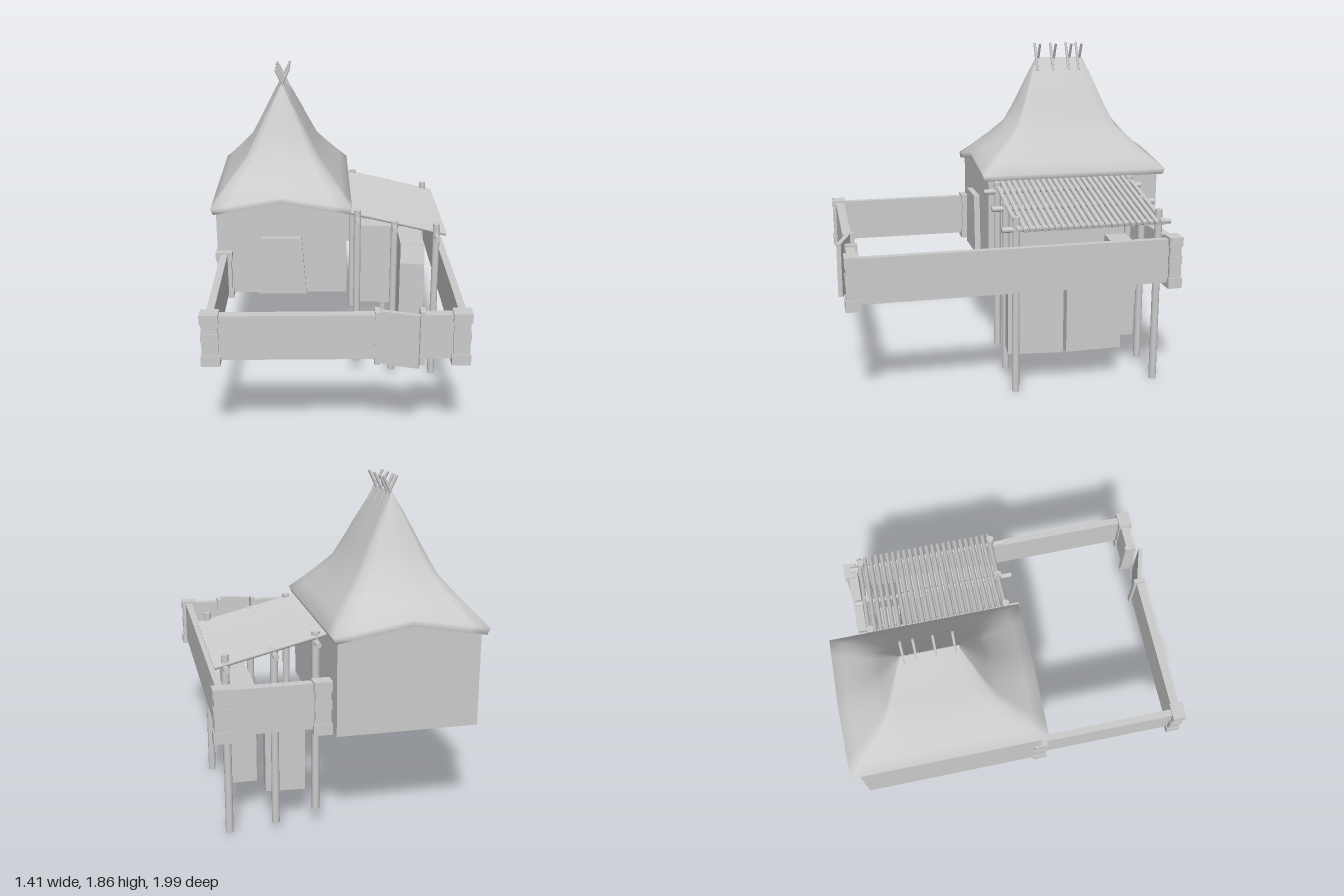
import * as THREE from 'three';

const mat = new THREE.MeshStandardMaterial({ color: 0xcccccc });
const flat = new THREE.MeshStandardMaterial({ color: 0xcccccc, flatShading: true });

export function createModel() {
  const model = new THREE.Group();

  function add(name, geometry, material = flat) {
    const mesh = new THREE.Mesh(geometry, material);
    mesh.name = name;
    model.add(mesh);
    return mesh;
  }

  // Box given by its limits on each axis
  function box(name, x0, x1, y0, y1, z0, z1) {
    const mesh = add(name, new THREE.BoxGeometry(x1 - x0, y1 - y0, z1 - z0));
    mesh.position.set((x0 + x1) / 2, (y0 + y1) / 2, (z0 + z1) / 2);
    return mesh;
  }

  // Round pole between two points
  function pole(name, a, b, radius, sides = 10) {
    const p = new THREE.Vector3(...a), q = new THREE.Vector3(...b);
    const mesh = add(name, new THREE.CylinderGeometry(radius, radius, p.distanceTo(q), sides), mat);
    mesh.position.copy(p).add(q).multiplyScalar(0.5);
    mesh.quaternion.setFromUnitVectors(new THREE.Vector3(0, 1, 0), q.sub(p).normalize());
    return mesh;
  }

  function panel(name, points, z, depth) {
    const shape = new THREE.Shape(points.map(p => new THREE.Vector2(...p)));
    add(name, new THREE.ExtrudeGeometry(shape, { depth, bevelEnabled: false })).position.z = z;
  }

  // House walls, open underneath
  const gable = [[-0.68, 0.58], [0.085, 0.58], [0.085, 1.09], [-0.295, 1.15], [-0.68, 1.09]];
  panel('frontWall', gable, 0.06, 0.03);
  panel('backWall', gable, -0.96, 0.03);
  box('leftHouseWall', 0.055, 0.085, 0.58, 1.1, -0.93, 0.06);
  box('rightHouseWall', -0.68, -0.65, 0.58, 1.1, -0.93, 0.06);
  panel('door', [[-0.44, 0.585], [-0.155, 0.585], [-0.18, 0.94], [-0.42, 0.94]], 0.09, 0.035);

  // Thatched roof with a soft rolled edge, and its underside
  add('thatchedRoof', roofGeometry(false), mat);
  add('roofUnderside', roofGeometry(true), mat);

  // Crossed sticks on the ridge
  for (const z of [-0.3, -0.4, -0.5, -0.565]) {
    for (const s of [-1, 1]) {
      pole('ridgeStick', [-0.293 + s * 0.04, 1.69, z + s * 0.007], [-0.293 - s * 0.04, 1.855, z + s * 0.007], 0.008, 6);
    }
  }

  // Compound walls
  box('rightCompoundWall', -0.66, -0.62, 0.59, 0.84, 0.09, 0.91);
  box('frontCompoundWall', -0.62, 0.22, 0.59, 0.84, 0.9, 0.95);
  box('frontCompoundWall', 0.45, 0.63, 0.59, 0.84, 0.9, 0.95);
  box('leftCompoundWall', 0.64, 0.68, 0.59, 0.84, -0.82, 0.92);
  box('backCompoundWall', 0.1, 0.63, 0.59, 0.84, -0.855, -0.8);

  // Uneven corner pillars of stacked blocks
  const blocks = [[0.56, 1], [0.62, 0.86], [0.7, 0.93], [0.745, 0.84], [0.8, 0.98], [0.852, 0]];
  for (const [x, z] of [[-0.64, 0.93], [0.655, 0.93], [0.655, -0.84], [0.135, -0.84], [-0.64, 0.09]]) {
    for (let i = 0; i < blocks.length - 1; i++) {
      const [y, k] = blocks[i];
      box('pillarBlock', x - 0.05 * k, x + 0.05 * k, y, blocks[i + 1][0], z - 0.04 * k, z + 0.04 * k);
    }
  }

  // Gate, standing ajar
  for (const x of [0.22, 0.452]) box('gatePost', x - 0.014, x + 0.014, 0.555, 0.855, 0.885, 0.952);
  box('gate', 0.233, 0.438, 0.555, 0.855, 0.94, 0.965).rotation.y = -0.3;

  // Shelter posts and beams: [x, foot, top, beam height]
  for (const [x, foot, top, beam] of [[0.15, 0.09, 1.09, 1.035], [0.37, 0.03, 1.02, 0.985], [0.622, 0, 1, 0.93]]) {
    for (const z of [0.05, -0.76]) pole('shelterPost', [x, foot, z], [x, top, z], 0.021, 14);
    pole('shelterBeam', [x, beam, 0.13], [x, beam, -0.83], 0.016);
  }

  // Sloping roof of poles
  const slats = 24;
  for (let i = 0; i < slats; i++) {
    const z = 0.045 - 0.815 * i / (slats - 1);
    pole('roofSlat', [0.085, 1.08, z], [0.68, 0.935, z], 0.013, 8);
  }

  // Storage chests under the shelter
  box('frontChest', 0.427, 0.573, 0.19, 0.75, -0.24, 0.07).rotation.y = -0.12;
  box('middleChest', 0.44, 0.59, 0.19, 0.75, -0.57, -0.25);
  box('backChest', 0.195, 0.41, 0.19, 0.75, -0.72, -0.59).rotation.y = -0.08;

  return model;
}

// Roof outline per level: half width, half length, side height, end height, roundness
const levels = [
  [0.413, 0.56, 1.12, 1.19, 0],
  [0.36, 0.49, 1.185, 1.235, 0.05],
  [0.295, 0.41, 1.27, 1.31, 0.15],
  [0.225, 0.33, 1.36, 1.405, 0.25],
  [0.168, 0.282, 1.47, 1.49, 0.3],
  [0.113, 0.24, 1.575, 1.58, 0.3],
  [0.053, 0.193, 1.68, 1.68, 0.2],
  [0.002, 0.147, 1.77, 1.77, 0],
];

function roofPoint(u, [w, l, ySide, yEnd, round], drop) {
  // Walk around a square, then pull its corners towards a circle
  const side = Math.floor(u * 4) % 4, t = (u * 4 % 1) * 2 - 1;
  const [a, b] = [[t, 1], [1, -t], [-t, -1], [-1, t]][side];
  const k = THREE.MathUtils.lerp(1, 1 / Math.hypot(a, b), round);
  const y = THREE.MathUtils.lerp(yEnd, ySide, Math.abs(a));
  return [-0.297 + a * k * w, y - drop, -0.44 + b * k * l];
}

function roofGeometry(under) {
  const cols = 32, pos = [], idx = [];
  const [w, l, ...rest] = levels[0];
  const lip = [w - 0.015, l - 0.005, ...rest];
  const rings = under
    ? [lip, ...levels.slice(1)].map(level => [level, 0.035])
    : [[lip, 0.035], ...levels.map(level => [level, 0])];
  for (const [level, drop] of rings) {
    for (let i = 0; i < cols; i++) pos.push(...roofPoint(i / cols, level, drop));
  }
  for (let j = 0; j < rings.length - 1; j++) {
    for (let i = 0; i < cols; i++) {
      const a = j * cols + i, b = j * cols + (i + 1) % cols, c = a + cols, d = b + cols;
      if (under) idx.push(a, c, b, b, c, d);
      else idx.push(a, b, c, b, d, c);
    }
  }
  const g = new THREE.BufferGeometry();
  g.setAttribute('position', new THREE.Float32BufferAttribute(pos, 3));
  g.setIndex(idx);
  g.computeVertexNormals();
  return g;
}
